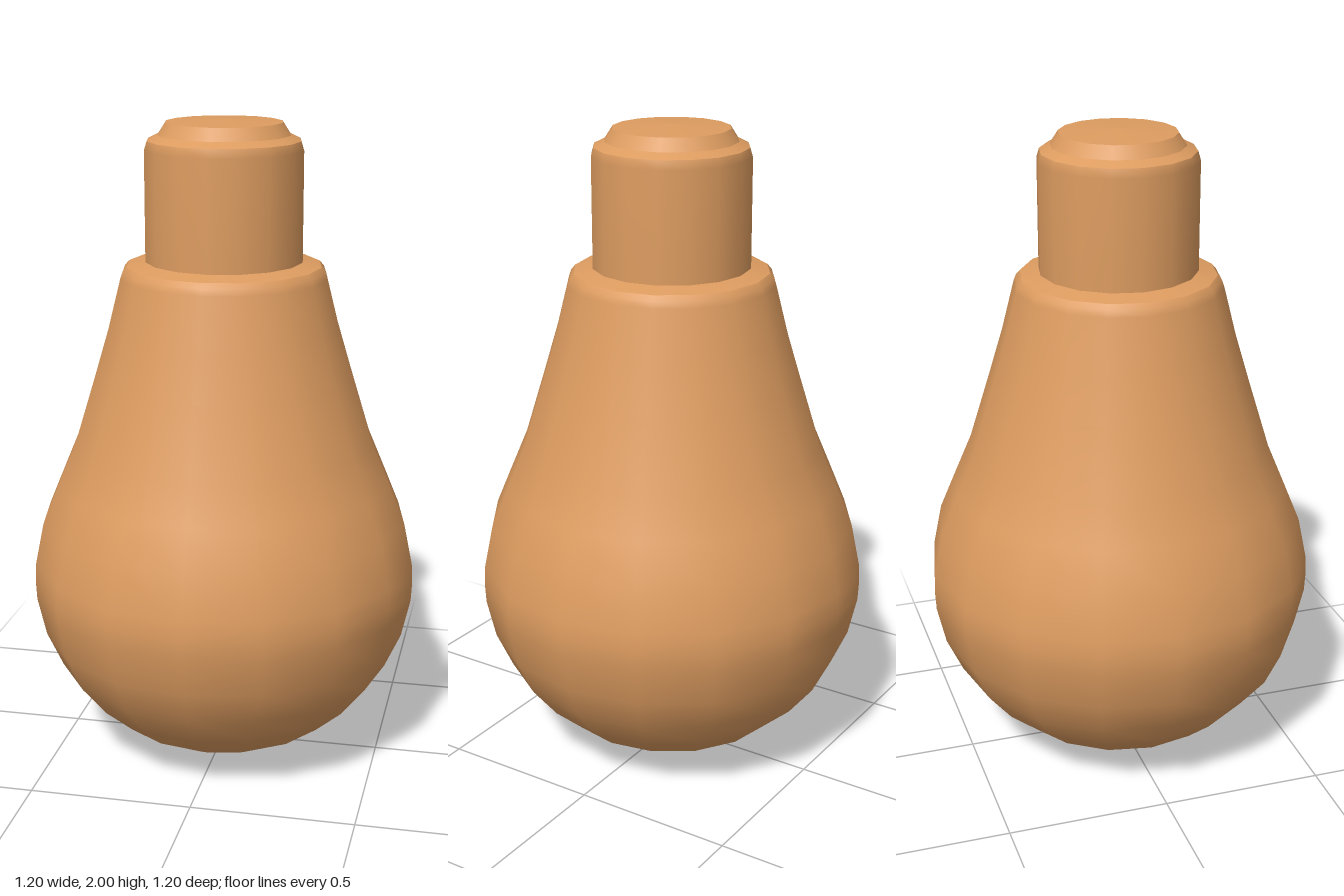
import * as THREE from 'three';

const SIDES = 16;

export function createModel() {
  const bulb = new THREE.Group();
  bulb.name = 'lightBulb';
  const amber = new THREE.MeshStandardMaterial({ color: 0xdd9c60 });
  amber.name = 'amber';

  // Each part is a turned profile of [radius, height], bottom to top;
  // separate parts keep the edges between them sharp.
  function turned(name, profile) {
    const points = profile.map(([r, y]) => new THREE.Vector2(r, y));
    const mesh = new THREE.Mesh(new THREE.LatheGeometry(points, SIDES), amber);
    mesh.name = name;
    bulb.add(mesh);
  }

  // Pear-shaped glass
  turned('glass', [
    [0, 0], [0.12, 0.015], [0.24, 0.05], [0.35, 0.11], [0.44, 0.19],
    [0.52, 0.29], [0.57, 0.4], [0.597, 0.52], [0.6, 0.58], [0.597, 0.64],
    [0.57, 0.77], [0.52, 0.89], [0.465, 1.02], [0.4, 1.23], [0.355, 1.38],
    [0.317, 1.53], [0.31, 1.55], [0.297, 1.565],
  ]);

  // Shoulder ledge between glass and base
  turned('shoulder', [[0.297, 0 + 1.565], [0.24, 1.578]]);

  // Cylindrical base with a softened rim
  turned('base', [[0.24, 1.578], [0.24, 1.91], [0.232, 1.937]]);
  turned('baseRim', [[0.232, 1.937], [0.2, 1.953]]);

  // Contact cap on top
  turned('contactSide', [[0.2, 1.953], [0.176, 1.99]]);
  turned('contactTop', [[0.176, 1.99], [0, 2]]);

  return bulb;
}
